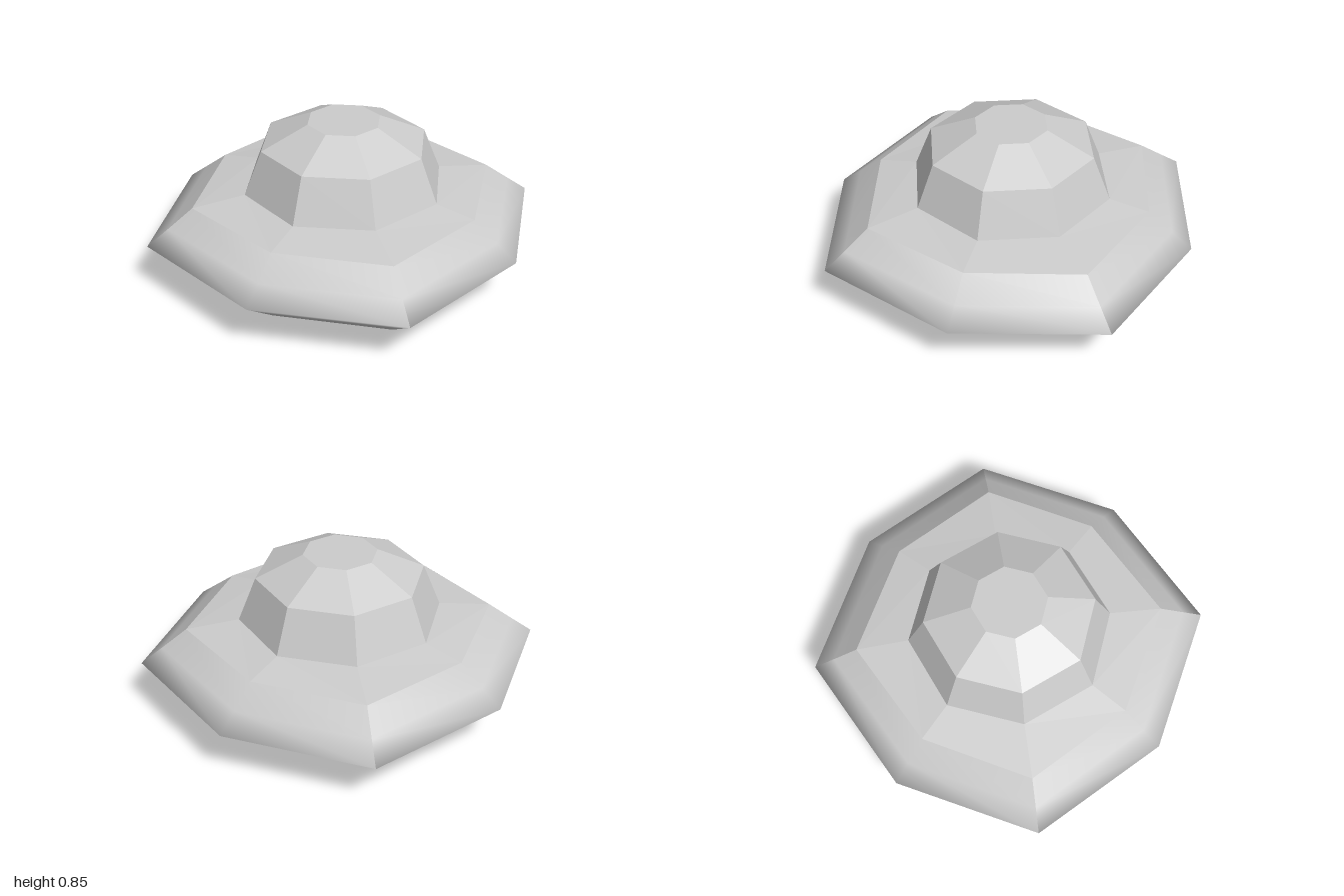
import * as THREE from 'three';

const smooth = new THREE.MeshStandardMaterial({ color: 0xcccccc });
const faceted = new THREE.MeshStandardMaterial({ color: 0xcccccc, flatShading: true });

// Skin over octagonal rings, listed from top to bottom.
// Each ring is [radius at axis corners, radius at diagonal corners, y].
// Corner k sits at k * 45 degrees, starting at +z and turning towards +x.
function skin(rings, firstCorner, sides) {
  const positions = [];
  const index = [];
  const cols = sides + 1;
  for (const [axisR, diagR, y] of rings) {
    for (let j = 0; j < cols; j++) {
      const k = firstCorner + j;
      const r = k % 2 === 0 ? axisR : diagR;
      const a = (k * Math.PI) / 4;
      positions.push(r * Math.sin(a), y, r * Math.cos(a));
    }
  }
  for (let i = 0; i < rings.length - 1; i++) {
    for (let j = 0; j < sides; j++) {
      const a = i * cols + j;
      const b = a + cols;
      index.push(a, b, b + 1, a, b + 1, a + 1);
    }
  }
  const geo = new THREE.BufferGeometry();
  geo.setAttribute('position', new THREE.Float32BufferAttribute(positions, 3));
  geo.setIndex(index);
  geo.computeVertexNormals();
  return geo;
}

// Eight-sided turned part from a profile of [radius, y] points
function octagonLathe(profile) {
  return new THREE.LatheGeometry(profile.map(([r, y]) => new THREE.Vector2(r, y)), 8);
}

export function createModel() {
  const model = new THREE.Group();
  const add = (name, geometry, material, parent = model) => {
    const mesh = new THREE.Mesh(geometry, material);
    mesh.name = name;
    parent.add(mesh);
  };

  // Faceted cabin dome
  add('dome', octagonLathe([[0.545, 0.49], [0.45, 0.73], [0.198, 0.85], [0, 0.85]]), faceted);

  // Shallow sloping decks above and below the rim
  add('upperDeck', skin([[0.545, 0.545, 0.49], [0.76, 0.827, 0.455]], 0, 8), faceted);
  add('lowerDeck', skin([[0.76, 0.827, 0.08], [0.545, 0.545, 0.04]], 0, 8), faceted);

  // Rim: four bowed sides, soft across the edge but creased at the diagonal corners
  const rim = new THREE.Group();
  rim.name = 'rim';
  model.add(rim);
  const rimRings = [
    [0.76, 0.827, 0.455],
    [0.89, 0.962, 0.352],
    [1, 1.077, 0.265],
    [0.89, 0.962, 0.18],
    [0.76, 0.827, 0.08],
  ];
  ['frontRim', 'leftRim', 'backRim', 'rightRim'].forEach((name, i) => {
    add(name, skin(rimRings, 2 * i + 7, 2), smooth, rim);
  });

  // Base ring with a recessed floor
  add('baseRing', octagonLathe([[0, 0.045], [0.49, 0.045], [0.49, 0], [0.545, 0], [0.545, 0.04]]), faceted);

  return model;
}
